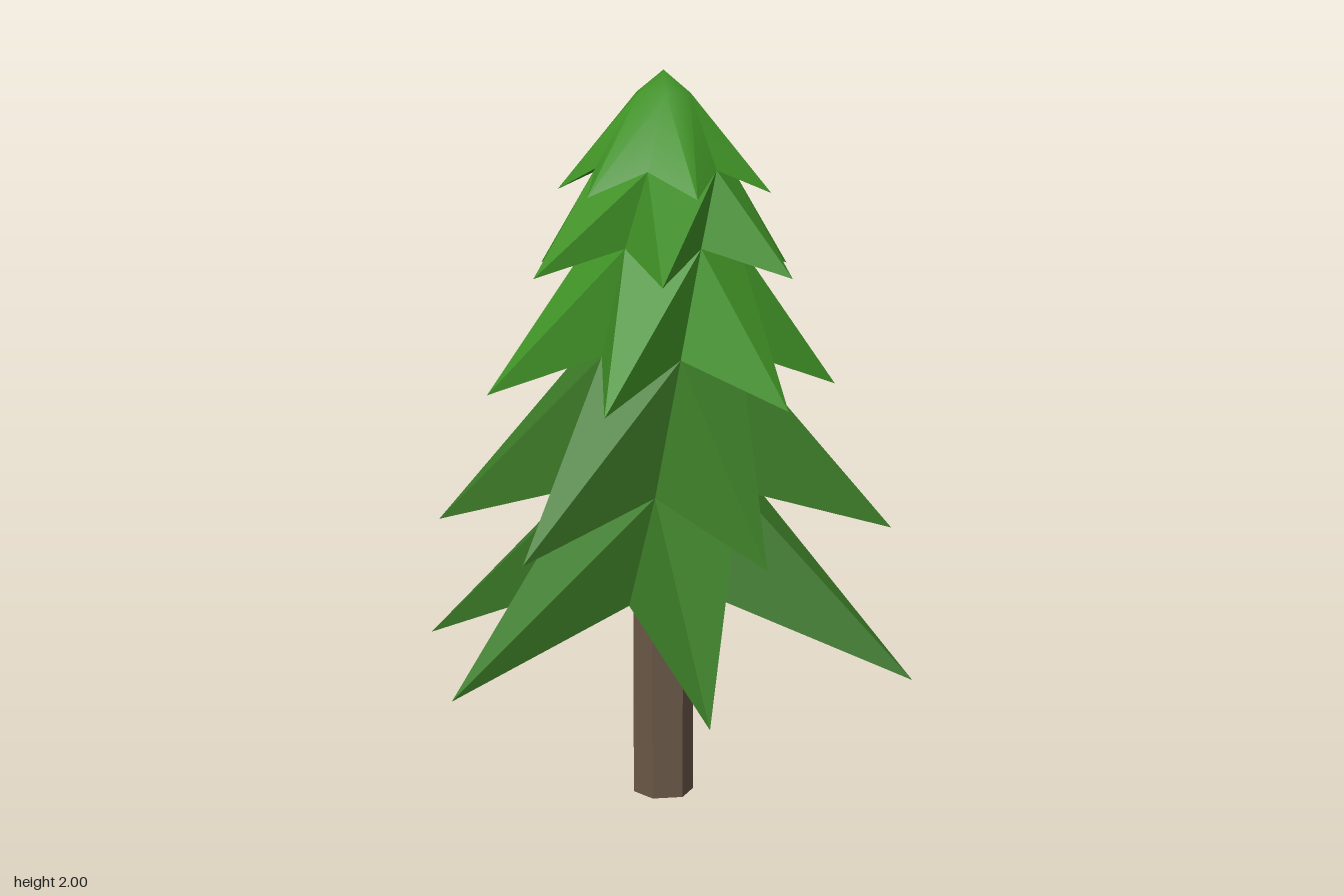
import * as THREE from 'three';

const SIDES = 6;

// Tiers from the top down: tip angle (degrees), tip radius/height, valley radius/height
const TIERS = [
  { name: 'crownTier', turn: 22, tipR: 0.294, tipY: 1.677, inR: 0.19, inY: 1.742, tone: 'light' },
  { name: 'upperTier', turn: 39.7, tipR: 0.393, tipY: 1.463, inR: 0.2, inY: 1.54, tone: 'light' },
  { name: 'middleTier', turn: 57.5, tipR: 0.484, tipY: 1.138, inR: 0.22, inY: 1.25, tone: 'light' },
  { name: 'lowerTier', turn: 74.5, tipR: 0.624, tipY: 0.765, inR: 0.25, inY: 0.887, tone: 'dark' },
  { name: 'bottomTier', turn: 90, tipR: 0.712, tipY: 0.39, inR: 0.26, inY: 0.593, tone: 'dark' },
];

// Returns a function giving the k-th corner of a horizontal hexagon
function ring(degrees, radius, y) {
  return (k) => {
    const a = THREE.MathUtils.degToRad(degrees + k * 360 / SIDES);
    return [radius * Math.cos(a), y, radius * Math.sin(a)];
  };
}

// One star-shaped tier: sloping branches hung from the ring above, plus their undersides
function tierGeometry(tier, top, isCrown, isBottom) {
  const tip = ring(tier.turn, tier.tipR, tier.tipY);
  const valley = ring(tier.turn + 30, tier.inR, tier.inY);
  const points = [];
  const tri = (a, b, c) => points.push(...a, ...b, ...c);
  for (let k = 0; k < SIDES; k++) {
    tri(top(k), valley(k), tip(k));
    tri(top(k - 1), top(k), tip(k));
    tri(top(k - 1), tip(k), valley(k - 1));
    tri(tip(k), valley(k), valley(k - 1));
    if (isCrown) tri([0, 2, 0], top(k), top(k - 1));
    if (isBottom) tri([0, 0.62, 0], valley(k - 1), valley(k));
  }
  const geometry = new THREE.BufferGeometry();
  geometry.setAttribute('position', new THREE.Float32BufferAttribute(points, 3));
  geometry.computeVertexNormals();
  // Rounded peak: the summit and its small ring share smooth normals
  const { position, normal } = geometry.attributes;
  const n = new THREE.Vector3();
  for (let i = 0; i < position.count; i++) {
    if (position.getY(i) < 1.9) continue;
    n.fromBufferAttribute(position, i).setY(position.getY(i) - 1.86).normalize();
    normal.setXYZ(i, n.x, n.y, n.z);
  }
  return geometry;
}

export function createModel() {
  const tree = new THREE.Group();
  tree.name = 'pineTree';

  const foliage = {
    light: new THREE.MeshStandardMaterial({ name: 'lightGreen', color: 0x409226 }),
    dark: new THREE.MeshStandardMaterial({ name: 'darkGreen', color: 0x3b7a27 }),
  };
  const bark = new THREE.MeshStandardMaterial({ name: 'barkBrown', color: 0x6a5848, side: THREE.DoubleSide });

  // Foliage: each tier starts at the valley ring of the one above
  let top = ring(35, 0.08, 1.94);
  TIERS.forEach((tier, i) => {
    const geometry = tierGeometry(tier, top, i === 0, i === TIERS.length - 1);
    const mesh = new THREE.Mesh(geometry, foliage[tier.tone]);
    mesh.name = tier.name;
    tree.add(mesh);
    top = ring(tier.turn + 30, tier.inR, tier.inY);
  });

  // Hexagonal open-ended trunk with corners on the x axis
  const trunkGeometry = new THREE.CylinderGeometry(0.084, 0.084, 0.615, SIDES, 1, true).toNonIndexed();
  trunkGeometry.rotateY(Math.PI / 6);
  trunkGeometry.translate(0, 0.3075, 0);
  trunkGeometry.computeVertexNormals();
  const trunk = new THREE.Mesh(trunkGeometry, bark);
  trunk.name = 'trunk';
  tree.add(trunk);

  return tree;
}
